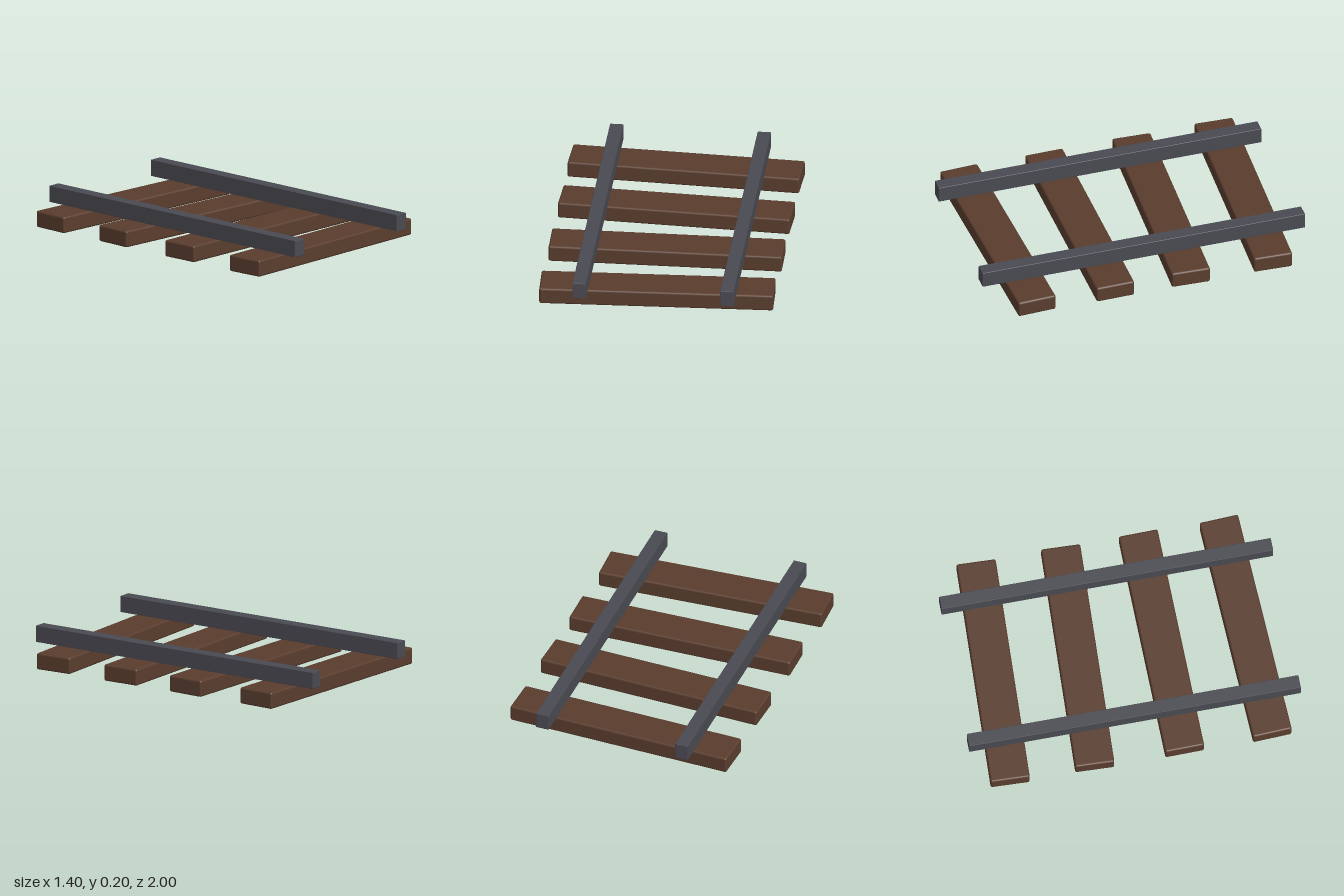
import * as THREE from 'three';
import { RoundedBoxGeometry } from 'three/addons/geometries/RoundedBoxGeometry.js';

export function createModel() {
  const model = new THREE.Group();
  model.name = 'railTrack';

  const wood = new THREE.MeshStandardMaterial({ color: 0x5a3d2e });
  wood.name = 'dark brown wood';
  const steel = new THREE.MeshStandardMaterial({ color: 0x4a4a52 });
  steel.name = 'dark grey steel';

  // Sleepers: bevelled planks, each laid slightly askew [z, yaw]
  const sleeperGeometry = new RoundedBoxGeometry(1.39, 0.1, 0.235, 2, 0.012);
  const layout = [[-0.765, -0.04], [-0.255, -0.04], [0.25, 0.014], [0.757, 0.045]];
  layout.forEach(([z, yaw], i) => {
    const sleeper = new THREE.Mesh(sleeperGeometry, wood);
    sleeper.name = `sleeper${i + 1}`;
    sleeper.position.set(0, 0.05, z);
    sleeper.rotation.y = yaw;
    model.add(sleeper);
  });

  // Rails: a mirrored pair of square bars resting on the sleepers
  const railGeometry = new RoundedBoxGeometry(0.08, 0.1, 2, 1, 0.003);
  for (const side of [-1, 1]) {
    const rail = new THREE.Mesh(railGeometry, steel);
    rail.name = side > 0 ? 'leftRail' : 'rightRail';
    rail.position.set(side * 0.44, 0.15, 0);
    model.add(rail);
  }

  return model;
}
